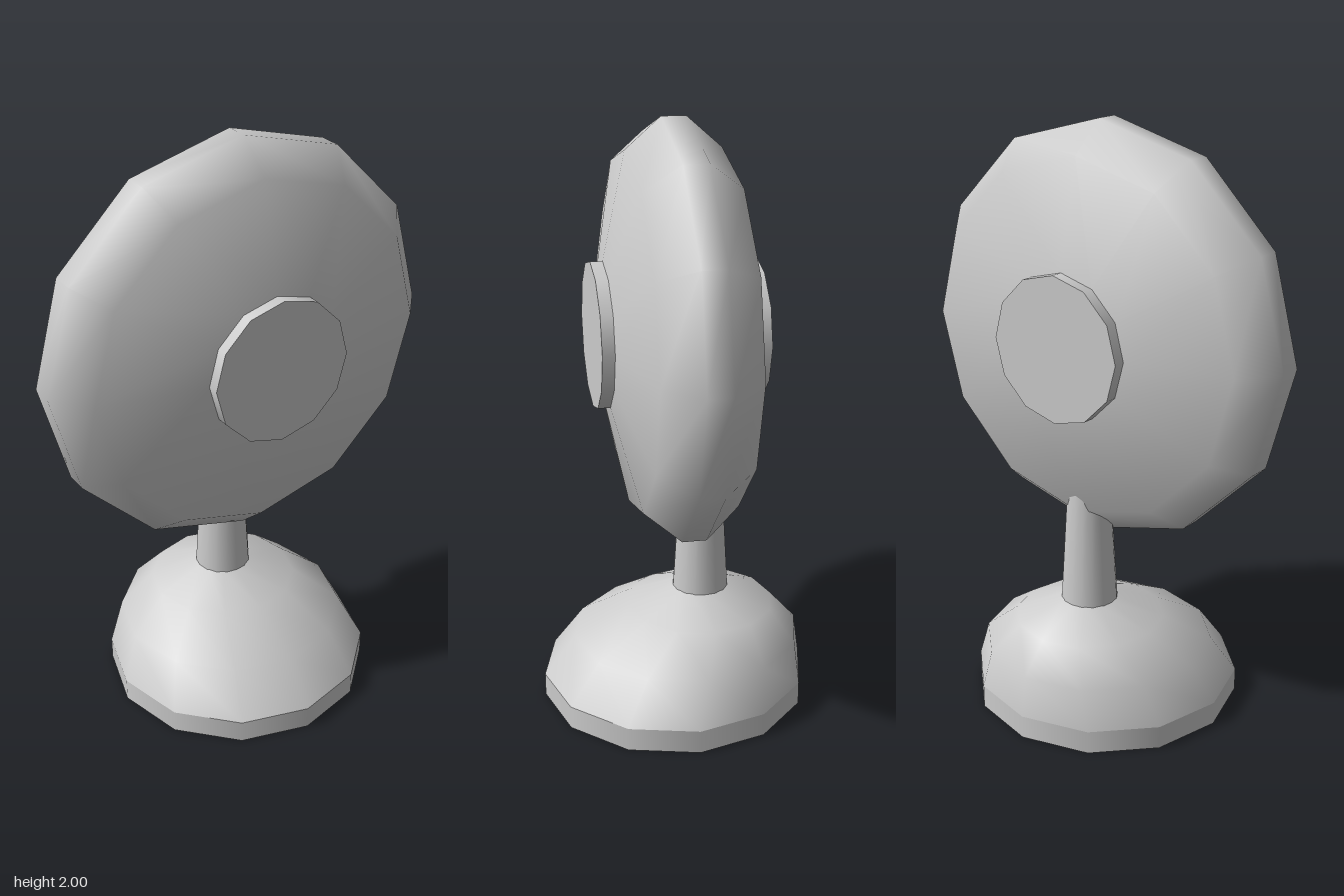
import * as THREE from 'three';
import { mergeVertices } from 'three/addons/utils/BufferGeometryUtils.js';

const SIDES = 12;
const material = new THREE.MeshStandardMaterial({ color: 0xcccccc });

function part(name, geometry, x = 0, y = 0, z = 0) {
  const mesh = new THREE.Mesh(geometry, material);
  mesh.name = name;
  mesh.position.set(x, y, z);
  return mesh;
}

// Smooth solid from rings [radius, height, zOffset], listed bottom to top
function ringSolid(rings) {
  const points = rings.map(([r, y]) => new THREE.Vector2(r, y));
  const geometry = new THREE.LatheGeometry(points, SIDES);
  const pos = geometry.attributes.position;
  for (let i = 0; i < pos.count; i++) {
    pos.setZ(i, pos.getZ(i) + (rings[i % rings.length][2] ?? 0));
  }
  geometry.deleteAttribute('uv');
  geometry.deleteAttribute('normal');
  const merged = mergeVertices(geometry, 1e-4);
  merged.computeVertexNormals();
  return merged;
}

export function createModel() {
  const model = new THREE.Group();
  model.name = 'discOnStand';

  // Base: low plinth with a dome leaning towards the back
  const base = new THREE.Group();
  base.name = 'base';
  base.add(part('plinth', new THREE.CylinderGeometry(0.46, 0.46, 0.08, SIDES), 0, 0.04, 0));
  base.add(part('dome', ringSolid([
    [0.46, 0.08, 0],
    [0.395, 0.22, -0.045],
    [0.255, 0.32, -0.095],
    [0.095, 0.385, -0.095],
  ])));
  model.add(base);

  // Tapered post running up into the back of the disc
  model.add(part('post', new THREE.CylinderGeometry(0.066, 0.097, 0.54, 16), 0, 0.64, -0.095));

  // Upright lens-shaped disc with a round cap on both faces
  const head = new THREE.Group();
  head.name = 'head';
  head.position.y = 1.31;
  head.rotation.x = Math.PI / 2;
  head.add(part('disc', ringSolid([
    [0.24, -0.23], [0.59, -0.155], [0.69, -0.04],
    [0.69, 0.04], [0.59, 0.155], [0.24, 0.23],
  ])));
  for (const side of [1, -1]) {
    head.add(part(side > 0 ? 'frontCap' : 'backCap',
      new THREE.CylinderGeometry(0.242, 0.242, 0.05, SIDES), 0, side * 0.245, 0));
  }
  model.add(head);

  return model;
}
